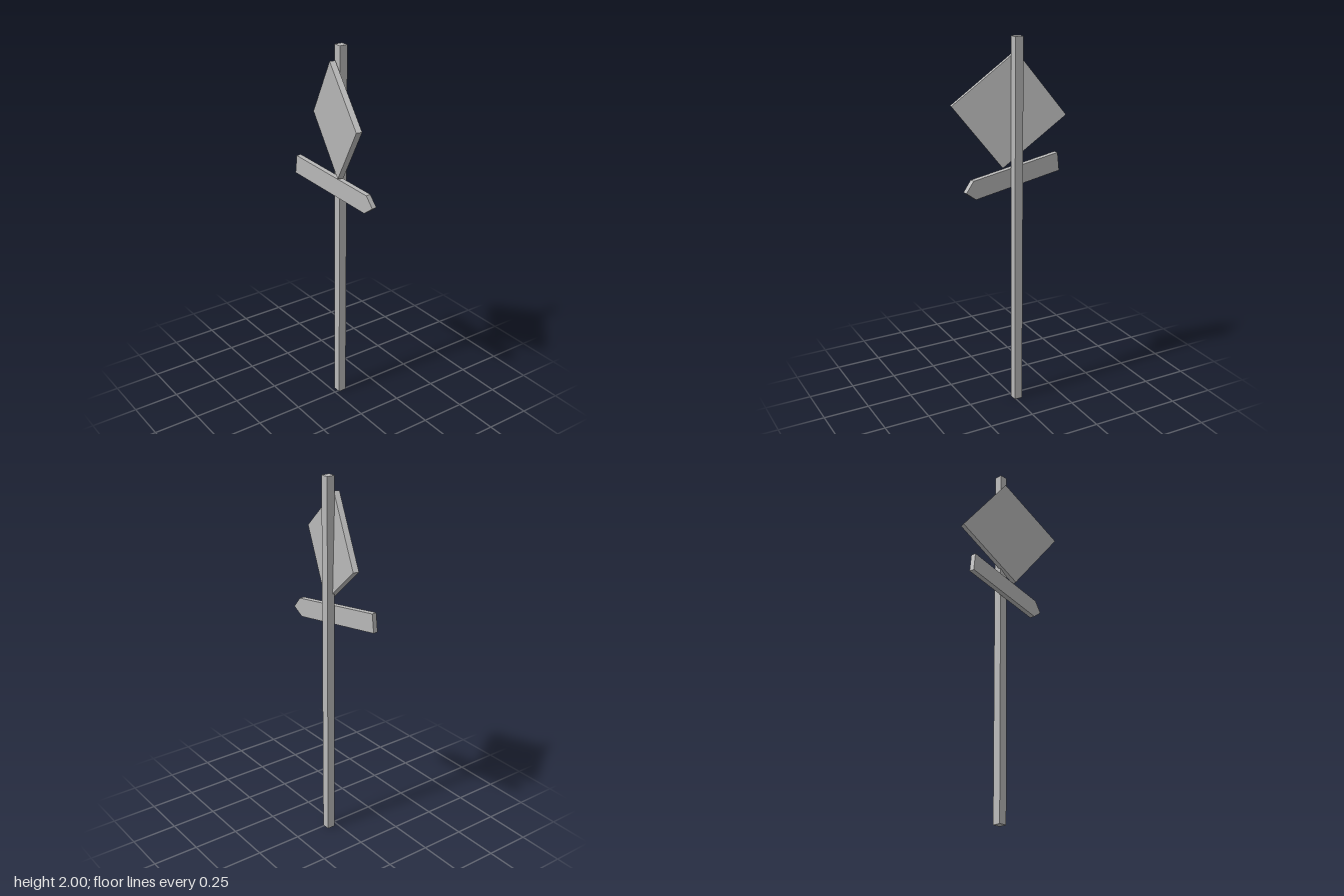
import * as THREE from 'three';

export function createModel() {
  const model = new THREE.Group();
  const grey = new THREE.MeshStandardMaterial({ color: 0xb8b8b8 });
  grey.name = 'grey';

  const add = (name, geometry, position, rotation = [0, 0, 0]) => {
    const mesh = new THREE.Mesh(geometry, grey);
    mesh.name = name;
    mesh.position.set(...position);
    mesh.rotation.set(...rotation, 'YXZ');
    model.add(mesh);
  };

  // Square post
  add('post', new THREE.BoxGeometry(0.045, 2, 0.045), [-0.014, 1, -0.045]);

  // Diamond board, turned and slightly tipped forward
  add('diamondSign', new THREE.BoxGeometry(0.422, 0.422, 0.03),
    [0.01, 1.625, -0.002], [0.024, -0.245, -0.661]);

  // Arrow board with a pointed end, sloping down to its tip
  const outline = new THREE.Shape([
    [-0.290, 1.360], [-0.302, 1.260], [0.227, 1.197], [0.284, 1.240], [0.240, 1.297],
  ].map(([x, y]) => new THREE.Vector2(x, y)));
  const arrow = new THREE.ExtrudeGeometry(outline, { depth: 0.028, bevelEnabled: false });
  arrow.translate(0, 0, -0.028);
  add('arrowSign', arrow, [0, 0, 0.0085], [0, 0.124, 0]);

  return model;
}
